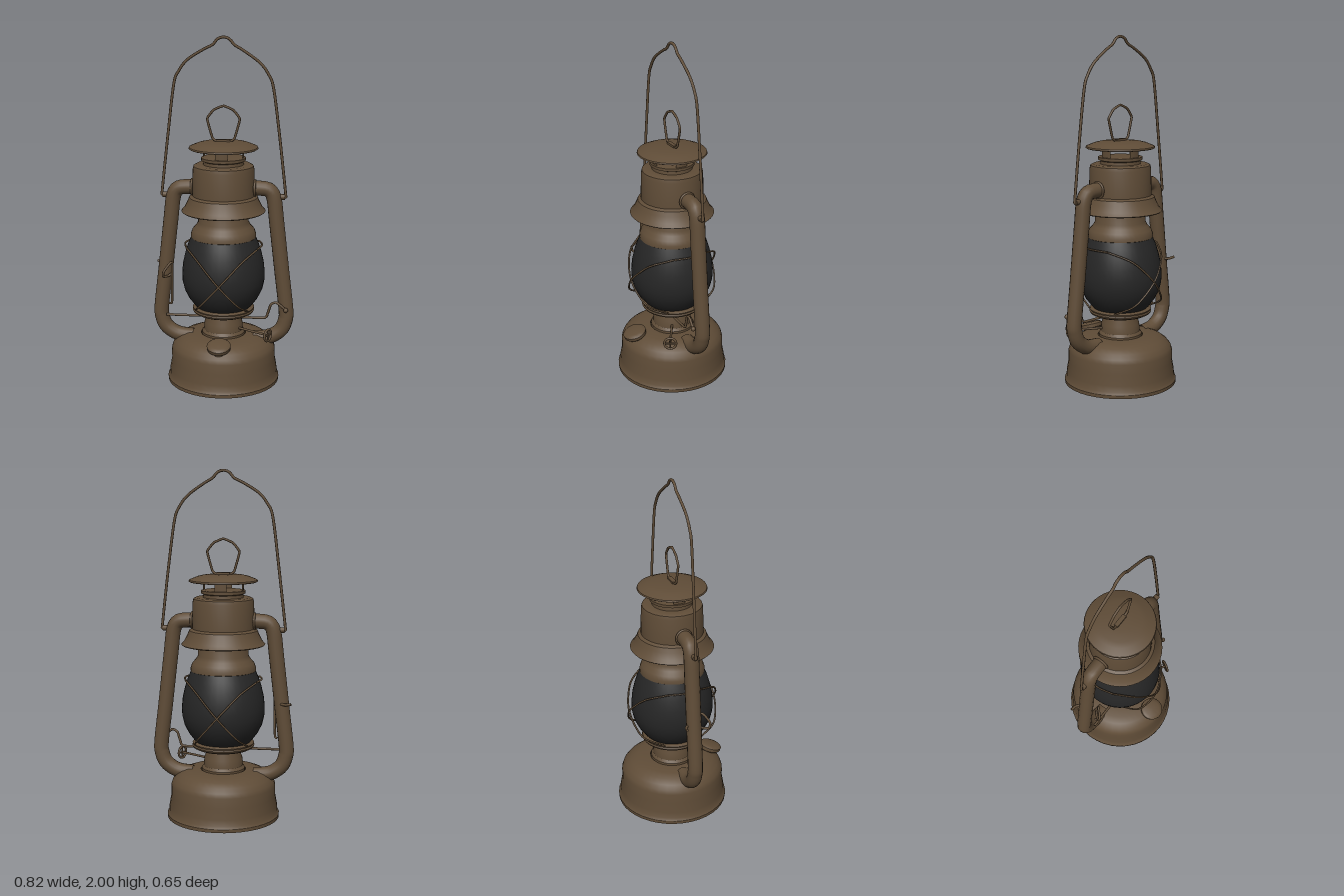
import * as THREE from 'three';
import { toCreasedNormals } from 'three/addons/utils/BufferGeometryUtils.js';

const metal = new THREE.MeshStandardMaterial({ color: 0x5f4c37, side: THREE.DoubleSide });
metal.name = 'aged brown metal';
const glass = new THREE.MeshStandardMaterial({ color: 0x262626 });
glass.name = 'smoked glass';

export function createModel() {
  const lantern = new THREE.Group();
  lantern.name = 'lantern';

  function add(name, geometry, material = metal, parent = lantern) {
    const mesh = new THREE.Mesh(geometry, material);
    mesh.name = name;
    parent.add(mesh);
    return mesh;
  }

  // Turned part: profile of [radius, height] from bottom to top
  function turned(name, profile, material = metal, parent = lantern) {
    const g = new THREE.LatheGeometry(profile.map(([r, y]) => new THREE.Vector2(r, y)), 40);
    return add(name, toCreasedNormals(g, 0.6), material, parent);
  }

  // Round wire or pipe through points, with closed ends
  function wire(name, points, radius, { closed = false, tension = 0.5, steps = 48, sides = 8 } = {}) {
    const pts = points.map((p) => new THREE.Vector3(...p));
    const curve = new THREE.CatmullRomCurve3(pts, closed, 'catmullrom', tension);
    return add(name, new THREE.TubeGeometry(curve, steps, radius, sides, closed));
  }

  // Fuel tank
  turned('fuelTank', [[0, 0.012], [0.29, 0.012], [0.305, 0], [0.325, 0], [0.326, 0.02], [0.316, 0.035],
    [0.314, 0.07], [0.303, 0.13], [0.303, 0.19], [0.295, 0.215], [0.275, 0.24], [0.245, 0.262],
    [0.205, 0.277], [0.13, 0.28], [0.13, 0.268], [0, 0.268]]);

  // Burner and the tray that holds the globe
  turned('burner', [[0.125, 0.26], [0.125, 0.29], [0.113, 0.305], [0.11, 0.35], [0.097, 0.385], [0.095, 0.41]]);
  turned('globeTray', [[0, 0.39], [0.1, 0.39], [0.155, 0.405], [0.175, 0.415], [0.18, 0.425],
    [0.175, 0.432], [0.178, 0.44], [0.165, 0.447], [0, 0.447]]);

  // Glass globe
  turned('globe', [[0.15, 0.44], [0.17, 0.46], [0.2, 0.5], [0.225, 0.55], [0.237, 0.6], [0.239, 0.65],
    [0.233, 0.71], [0.219, 0.77], [0.203, 0.82], [0.185, 0.862]], glass);

  // Collar above the globe
  turned('globeCollar', [[0, 0.855], [0.178, 0.855], [0.188, 0.862], [0.187, 0.88], [0.178, 0.905],
    [0.157, 0.928], [0.145, 0.95], [0.143, 1.09]]);

  // Flared hood, open below
  turned('hood', [[0.143, 1.09], [0.168, 1.09], [0.19, 1.06], [0.215, 1.025], [0.235, 1.01], [0.24, 1.015],
    [0.222, 1.035], [0.205, 1.07], [0.195, 1.095], [0.178, 1.105], [0.175, 1.255], [0.17, 1.275],
    [0.155, 1.283], [0.115, 1.283], [0.113, 1.3], [0.126, 1.306], [0.126, 1.322], [0.112, 1.324], [0, 1.324]]);

  // Chimney posts with vent openings between them
  for (let i = 0; i < 4; i++) {
    add('chimneyPost', new THREE.CylinderGeometry(0.116, 0.116, 0.07, 6, 1, true, i * Math.PI / 2 - 0.3, 0.6))
      .position.y = 1.345;
  }

  // Chimney cap
  turned('chimneyCap', [[0, 1.365], [0.125, 1.365], [0.13, 1.376], [0.19, 1.37], [0.197, 1.374],
    [0.194, 1.382], [0.15, 1.4], [0.12, 1.407], [0.06, 1.412], [0, 1.413]]);
  wire('capRing', [[-0.035, 1.412, 0], [-0.062, 1.43, 0], [-0.092, 1.54, 0], [-0.055, 1.59, 0], [0, 1.613, 0],
    [0.055, 1.59, 0], [0.092, 1.54, 0], [0.062, 1.43, 0], [0.035, 1.412, 0]], 0.007, { closed: true, tension: 0.15, steps: 72 });
  add('capRingClip', new THREE.BoxGeometry(0.076, 0.018, 0.024)).position.y = 1.415;

  // Carrying bail
  wire('bail', [[-0.335, 1.1, 0], [-0.355, 1.09, 0], [-0.352, 1.13, 0], [-0.316, 1.44, 0], [-0.279, 1.73, 0],
    [-0.25, 1.805, 0], [-0.2, 1.868, 0], [-0.11, 1.925, 0], [-0.06, 1.95, 0], [-0.035, 1.98, 0], [0, 1.992, 0],
    [0.035, 1.98, 0], [0.06, 1.95, 0], [0.11, 1.92, 0], [0.2, 1.855, 0], [0.25, 1.79, 0], [0.279, 1.71, 0],
    [0.316, 1.44, 0], [0.352, 1.13, 0], [0.355, 1.09, 0], [0.335, 1.1, 0]], 0.008, { steps: 120 });

  // Side air pipes and bail lugs
  for (const s of [-1, 1]) {
    wire('sidePipe', [[0.15, 1.148], [0.215, 1.148], [0.262, 1.137], [0.288, 1.09], [0.305, 0.95], [0.338, 0.66],
      [0.365, 0.43], [0.362, 0.365], [0.34, 0.31], [0.295, 0.273], [0.25, 0.257], [0.18, 0.25]]
      .map(([x, y]) => [s * x, y, 0]), 0.043, { steps: 64, sides: 16 });
    const lug = add('bailLug', new THREE.CylinderGeometry(0.016, 0.016, 0.03, 10));
    lug.rotation.z = Math.PI / 2;
    lug.position.set(s * 0.335, 1.1, 0);
    // Joint where each pipe enters the hood
    const joint = add('pipeJoint', new THREE.TorusGeometry(0.044, 0.007, 8, 20));
    joint.rotation.y = Math.PI / 2;
    joint.position.set(s * 0.18, 1.148, 0);
  }

  // Crossed guard wires, front and back, joined round the sides
  for (const z of [-1, 1]) {
    for (const x of [-1, 1]) {
      wire('guardWire', [[-0.2 * x, 0.812, 0.1 * z], [-0.125 * x, 0.765, 0.205 * z], [-0.06 * x, 0.7, 0.25 * z],
        [0, 0.635, 0.266 * z], [0.065 * x, 0.56, 0.25 * z], [0.115 * x, 0.5, 0.21 * z], [0.15 * x, 0.445, 0.1 * z]], 0.0055, { sides: 6 });
    }
  }
  for (const s of [-1, 1]) {
    wire('guardSide', [[s * 0.2, 0.812, -0.1], [s * 0.222, 0.815, 0], [s * 0.2, 0.812, 0.1]], 0.0055, { steps: 16, sides: 6 });
  }

  // Globe lifting lever
  wire('liftLever', [[-0.33, 0.392, 0.05], [0, 0.392, 0.05], [0.24, 0.392, 0.05], [0.262, 0.42, 0.05], [0.28, 0.475, 0.052],
    [0.31, 0.49, 0.055], [0.345, 0.465, 0.058], [0.372, 0.44, 0.06]], 0.0075, { tension: 0.25, steps: 80 });
  add('leverKnob', new THREE.SphereGeometry(0.014, 10, 8)).position.set(0.366, 0.445, 0.06);

  // Lever catch on the right pipe
  wire('leverCatch', [[-0.31, 0.46, 0.045], [-0.296, 0.47, 0.05], [-0.293, 0.6, 0.055], [-0.292, 0.71, 0.06],
    [-0.31, 0.7, 0.08], [-0.335, 0.665, 0.1], [-0.338, 0.635, 0.092], [-0.315, 0.63, 0.06], [-0.3, 0.64, 0.05]], 0.007, { tension: 0.3, steps: 64 });
  wire('catchPin', [[-0.33, 0.68, -0.03], [-0.36, 0.68, -0.055], [-0.395, 0.685, -0.062]], 0.008, { steps: 12 });

  // Wick spindle and thumb wheel
  wire('wickSpindle', [[0.06, 0.325, 0.03], [0.16, 0.325, 0.09], [0.275, 0.325, 0.158]], 0.007, { steps: 12 });
  const wheel = new THREE.Group();
  wheel.name = 'wickWheel';
  wheel.position.set(0.27, 0.325, 0.155);
  wheel.rotation.y = Math.atan2(0.115, -0.068) - Math.PI / 2 + Math.PI / 6;
  lantern.add(wheel);
  add('wheelRim', new THREE.TorusGeometry(0.034, 0.007, 8, 20), metal, wheel);
  for (let i = 0; i < 2; i++) {
    add('wheelSpoke', new THREE.CylinderGeometry(0.005, 0.005, 0.066, 6), metal, wheel).rotation.z = i * Math.PI / 2;
  }

  // Filler neck and cap, tilted forward
  const filler = new THREE.Group();
  filler.name = 'filler';
  filler.position.set(0, 0.235, 0.235);
  filler.rotation.x = 0.3;
  lantern.add(filler);
  turned('fillerNeck', [[0.045, -0.03], [0.045, 0.03]], metal, filler);
  turned('fillerCap', [[0, 0.025], [0.055, 0.025], [0.066, 0.035], [0.068, 0.055], [0.06, 0.062], [0.045, 0.066], [0, 0.067]], metal, filler);

  return lantern;
}
